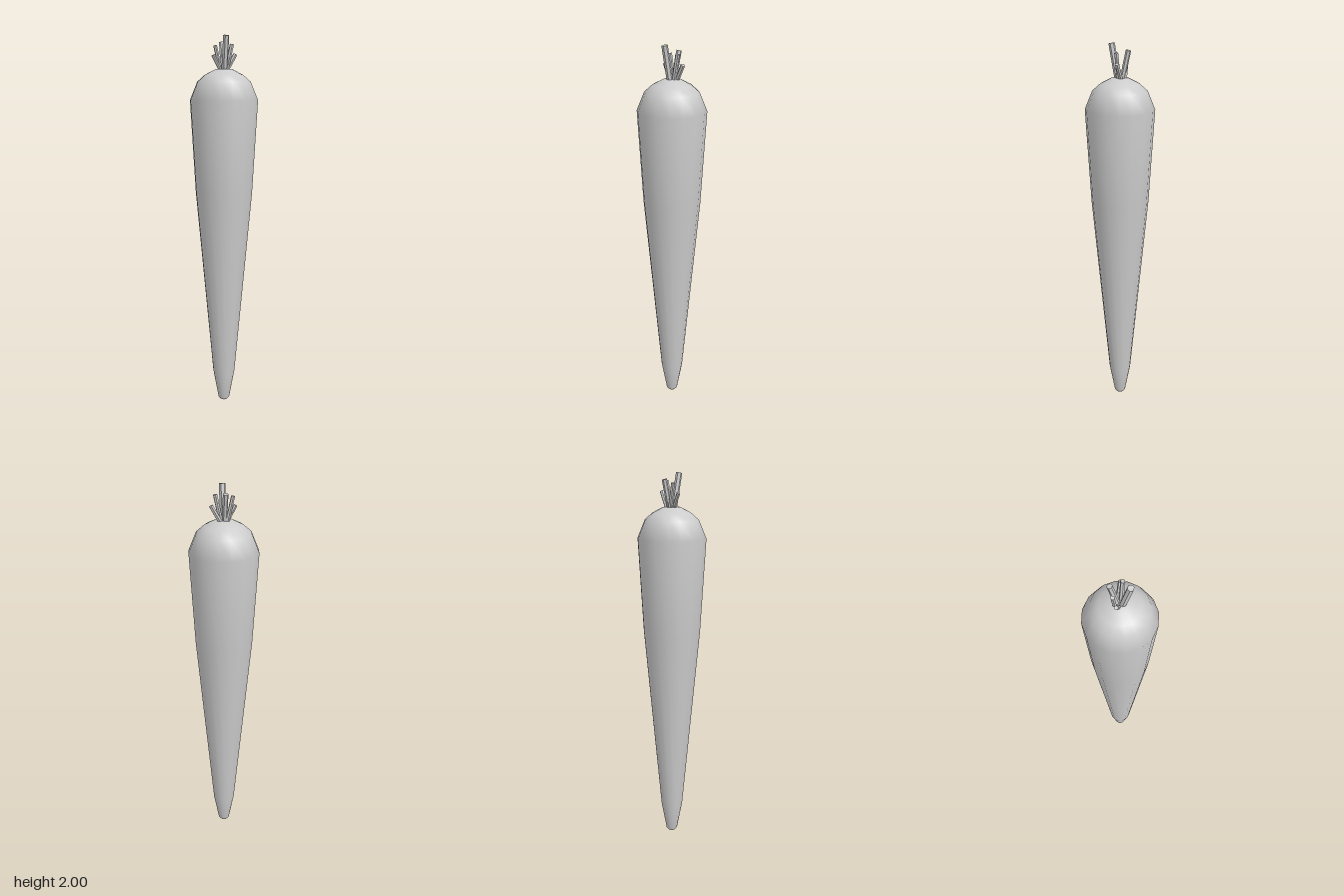
import * as THREE from 'three';

const material = new THREE.MeshStandardMaterial({ color: 0xcccccc });
const flatMaterial = new THREE.MeshStandardMaterial({ color: 0xcccccc, flatShading: true });

// Tapered root: [radius, height] from the tip to the crown
function createRoot() {
  const profile = [
    [0, 0], [0.018, 0.007], [0.03, 0.02], [0.059, 0.175], [0.151, 1.18],
    [0.179, 1.67], [0.14, 1.765], [0.1, 1.8], [0.045, 1.828], [0, 1.832],
  ].map(([r, y]) => new THREE.Vector2(r, y));
  const root = new THREE.Mesh(new THREE.LatheGeometry(profile, 16, 0.03), material);
  root.name = 'root';
  return root;
}

// Six-sided cut stalk running from base to tip
function createStalk(base, tip, radius) {
  const from = new THREE.Vector3(...base);
  const axis = new THREE.Vector3(...tip).sub(from);
  const geometry = new THREE.CylinderGeometry(radius, radius, axis.length(), 6);
  // Stalks leaning forward or back turn a flat side that way
  if (Math.abs(axis.z) > Math.abs(axis.x)) geometry.rotateY(Math.PI / 6);
  const stalk = new THREE.Mesh(geometry, flatMaterial);
  stalk.position.copy(from).addScaledVector(axis, 0.5);
  stalk.quaternion.setFromUnitVectors(new THREE.Vector3(0, 1, 0), axis.normalize());
  stalk.name = 'stalk';
  return stalk;
}

export function createModel() {
  const carrot = new THREE.Group();
  carrot.name = 'carrot';
  carrot.add(createRoot());

  // Trimmed stalks fanning out of the crown: base, tip, radius
  const stalks = new THREE.Group();
  stalks.name = 'stalks';
  [
    [[0, 1.81, 0.01], [0, 1.997, 0.046], 0.016],
    [[0, 1.81, -0.01], [0, 1.966, -0.046], 0.0135],
    [[0.012, 1.81, -0.015], [0.066, 1.905, -0.015], 0.0115],
    [[0.012, 1.81, 0], [0.043, 1.955, 0], 0.011],
    [[-0.01, 1.81, -0.001], [-0.058, 1.9, -0.001], 0.0095],
    [[-0.01, 1.81, -0.022], [-0.041, 1.95, -0.022], 0.01],
  ].forEach((s) => stalks.add(createStalk(...s)));
  carrot.add(stalks);
  return carrot;
}
